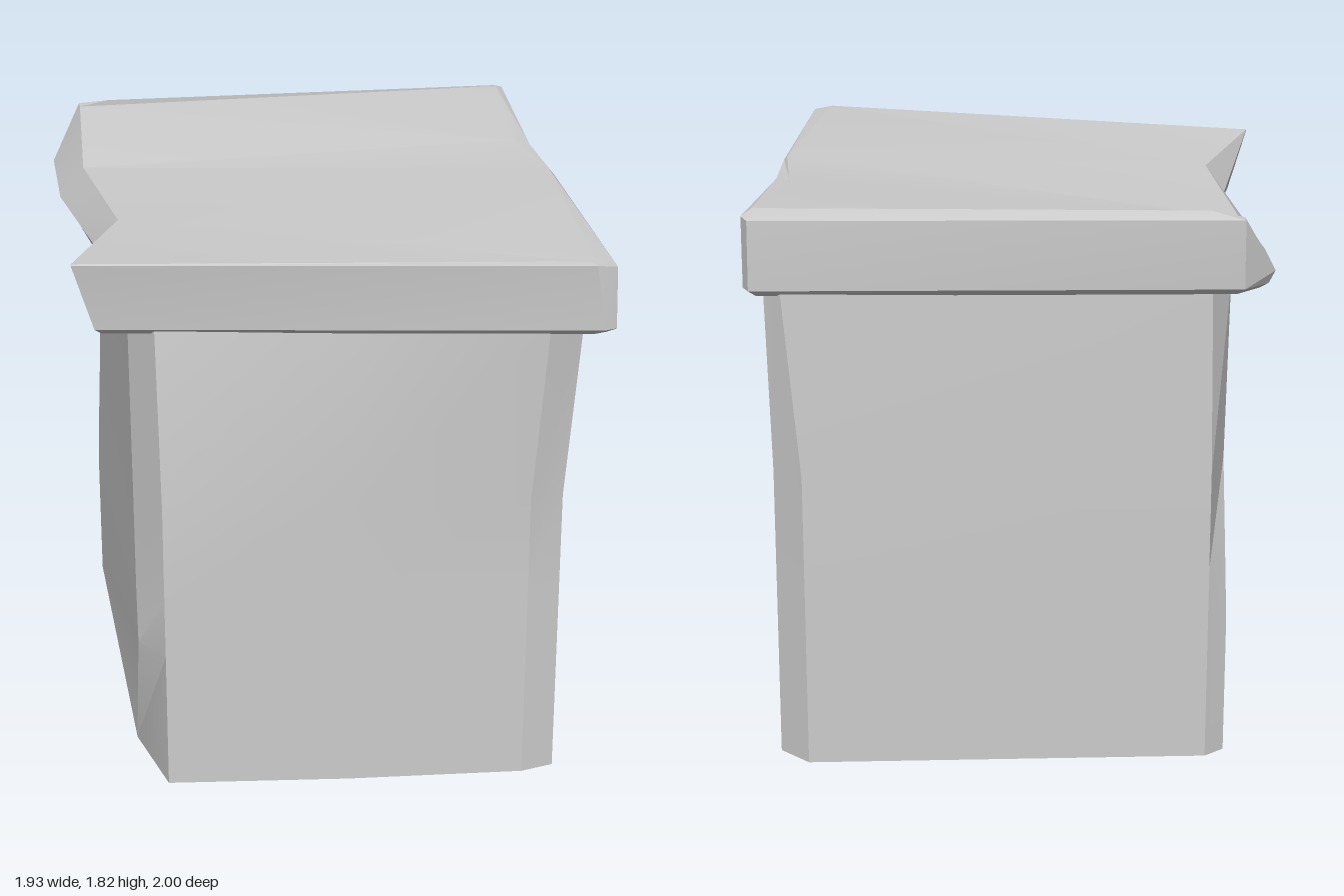
import * as THREE from 'three';
import { toCreasedNormals } from 'three/addons/utils/BufferGeometryUtils.js';

// Skin matching closed rings (each a loop of [x, y, z]); add extra polygons as fans
function skin(rings, polygons = []) {
  const pos = [];
  const tri = (a, b, c) => pos.push(...a, ...b, ...c);
  for (let r = 0; r + 1 < rings.length; r++) {
    const lo = rings[r], hi = rings[r + 1], n = lo.length;
    for (let i = 0; i < n; i++) {
      const j = (i + 1) % n;
      tri(lo[i], lo[j], hi[j]);
      tri(lo[i], hi[j], hi[i]);
    }
  }
  for (const p of polygons)
    for (let i = 1; i + 1 < p.length; i++) tri(p[0], p[i], p[i + 1]);
  const g = new THREE.BufferGeometry();
  g.setAttribute('position', new THREE.Float32BufferAttribute(pos, 3));
  return toCreasedNormals(g, 0.25); // soft facets, sharp corners
}

export function createModel() {
  const stone = new THREE.MeshStandardMaterial({ color: 0xcccccc, side: THREE.DoubleSide });
  stone.name = 'grey stone';
  const group = new THREE.Group();
  group.name = 'stonePillar';
  const add = (name, geometry) => {
    const mesh = new THREE.Mesh(geometry, stone);
    mesh.name = name;
    group.add(mesh);
  };

  // Pillar body: open-bottomed block with chipped corners, outline as [x, z]
  const foot = [[-0.41, 1.0], [0.17, 0.935], [0.73, 0.85], [0.83, 0.8], [0.56, -0.895],
    [0.445, -0.965], [-0.8, -0.63], [-0.85, -0.565], [-0.55, 0.71]];
  const top = [[-0.43, 0.93], [0.17, 0.92], [0.77, 0.915], [0.87, 0.87], [0.56, -0.945],
    [0.5, -0.965], [-0.79, -0.63], [-0.83, -0.52], [-0.53, 0.8]];
  const level = (outline, y, chips = {}) =>
    outline.map((p, i) => { const [x, z] = chips[i] ?? p; return [x, y, z]; });
  add('pillarBody', skin([
    level(foot, 0),
    level(foot, 0.46, { 8: [-0.51, 0.9] }),
    level(foot, 0.65, { 7: [-0.84, -0.55], 8: [-0.515, 0.88] }),
    level(foot, 0.97, { 7: [-0.81, -0.44], 8: [-0.52, 0.85] }),
    level(top, 1.57),
  ]));

  // Capstone: rings for underside rim, lower edge, outer edge and upper edge
  const lower = [[-0.61, 1.54, 0.94], [0.93, 1.58, 0.95], [0.965, 1.58, 0.93], [0.79, 1.58, 0.02],
    [0.715, 1.58, -0.3], [0.62, 1.58, -0.96], [0.59, 1.58, -1.0], [-0.89, 1.58, -0.64],
    [-0.95, 1.58, -0.54], [-0.87, 1.58, -0.18], [-0.64, 1.57, 0.46]];
  const upper = [[-0.67, 1.76, 0.97], [0.88, 1.79, 0.93], [0.89, 1.79, 0.88], [0.775, 1.788, 0],
    [0.665, 1.788, -0.33], [0.6, 1.82, -0.9], [0.58, 1.82, -0.905], [-0.78, 1.82, -0.63],
    [-0.88, 1.8, -0.61], [-0.81, 1.7, -0.2], [-0.6, 1.73, 0.45]];
  const edge = [[-0.67, 1.755, 0.972], [0.9, 1.785, 0.955], [0.96, 1.775, 0.93], [0.79, 1.775, 0.01],
    [0.715, 1.78, -0.31], [0.62, 1.805, -0.96], [0.59, 1.8, -0.995], [-0.89, 1.8, -0.655],
    [-0.97, 1.62, -0.54], [-0.89, 1.6, -0.18], [-0.66, 1.62, 0.46]];
  const rim = lower.map(([x, y, z]) => [x * 0.97, y - 0.02, z * 0.975]);
  const pick = (...ids) => ids.map((i) => upper[i]);
  const underside = [[0, 1.56, 0], rim[0], ...[...rim].reverse()];
  add('capstone', skin([rim, lower, edge, upper], [
    pick(8, 9, 4, 5, 6, 7),
    pick(9, 10, 3, 4),
    pick(10, 0, 1, 2, 3),
    underside,
  ]));
  return group;
}
